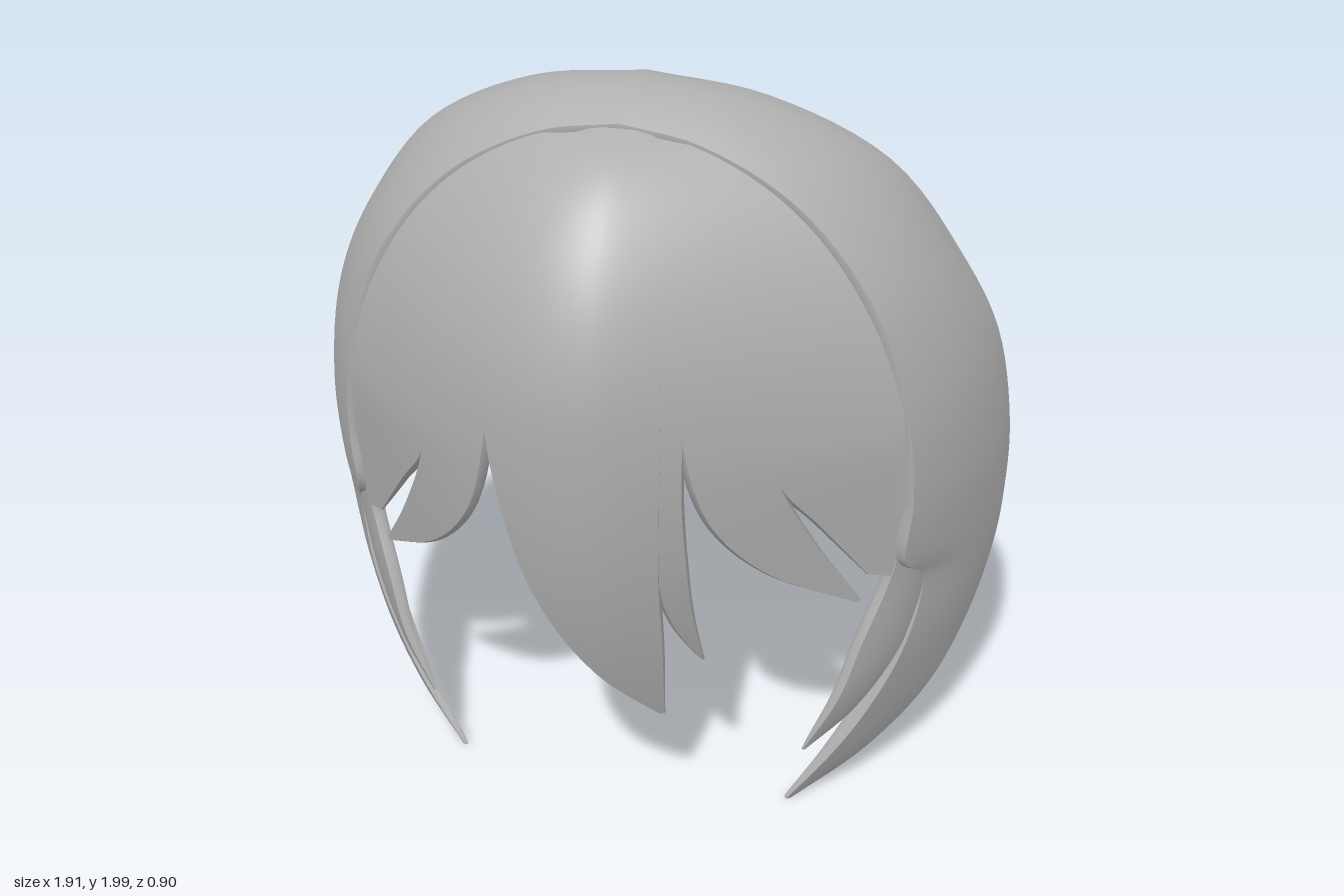
import * as THREE from 'three';

const hair = new THREE.MeshStandardMaterial({ color: 0xb0b0b0 });
hair.name = 'grey hair';

// Solid curved sheet: point(s, t) runs left to right and top to tip; the inside is offset along the normals.
function sheet(name, point, cols, rows, thickness) {
  const W = cols + 1, pos = [], idx = [];
  for (let j = 0; j <= rows; j++)
    for (let i = 0; i <= cols; i++) pos.push(...point(i / cols, (j / rows) * 0.995));
  for (let j = 0; j < rows; j++)
    for (let i = 0; i < cols; i++) {
      const a = j * W + i, b = a + W;
      idx.push(a, b, a + 1, a + 1, b, b + 1);
    }
  const outer = new THREE.BufferGeometry();
  outer.setAttribute('position', new THREE.Float32BufferAttribute(pos, 3));
  outer.setIndex(idx);
  outer.computeVertexNormals();
  const nor = outer.attributes.normal.array;

  // inner face, thinning towards the tip
  const inPos = pos.map((p, k) => {
    const t = Math.floor(k / 3 / W) / rows;
    return p - nor[k] * thickness * (1 - 0.85 * t ** 5);
  });
  const inIdx = [];
  for (let k = 0; k < idx.length; k += 3) inIdx.push(idx[k], idx[k + 2], idx[k + 1]);

  // rounded rim around the border
  const loop = [];
  for (let j = 0; j < rows; j++) loop.push(j * W);
  for (let i = 0; i < cols; i++) loop.push(rows * W + i);
  for (let j = rows; j > 0; j--) loop.push(j * W + cols);
  for (let i = cols; i > 0; i--) loop.push(i);
  const at = (array, v) => new THREE.Vector3().fromArray(array, v * 3);
  const rimPos = [], rimIdx = [], n = loop.length;
  loop.forEach((v, k) => {
    const a = at(pos, v), b = at(inPos, v);
    const along = at(pos, loop[(k + 1) % n]).sub(at(pos, loop[(k + n - 1) % n])).normalize();
    const mid = a.clone().lerp(b, 0.5).addScaledVector(along.cross(at(nor, v)), 0.3 * a.distanceTo(b));
    rimPos.push(...a.toArray(), ...mid.toArray(), ...b.toArray());
    const p = 3 * k, q = 3 * ((k + 1) % n);
    for (const h of [0, 1]) rimIdx.push(p + h, p + h + 1, q + h, q + h, p + h + 1, q + h + 1);
  });

  const group = new THREE.Group();
  group.name = name;
  for (const [part, p, ix] of [['Outside', pos, idx], ['Inside', inPos, inIdx], ['Rim', rimPos, rimIdx]]) {
    const g = new THREE.BufferGeometry();
    g.setAttribute('position', new THREE.Float32BufferAttribute(p, 3));
    g.setIndex(ix);
    g.computeVertexNormals();
    const mesh = new THREE.Mesh(g, hair);
    mesh.name = name + part;
    group.add(mesh);
  }
  return group;
}

const curve = (pts) => new THREE.CatmullRomCurve3(pts.map(([x, y, z = 0]) => new THREE.Vector3(x, y, z)));
const flip = (pts) => pts.map(([x, ...rest]) => [-x, ...rest]);

// Depth of the fringe: a dome that falls away to both sides, fuller on the right
function fringeDepth(x, y) {
  const arc = (top, mid) => (y > mid ? Math.sqrt(Math.max(0, 1 - ((y - mid) / (top - mid)) ** 2)) : 1);
  const width = Math.max(0.02, 0.735 * arc(1.94, 1.1));
  const base = 0.03 - 0.1 * Math.max(0, 1.2 - y);
  const ridge = 0.03 + 0.415 * arc(1.93, 1.33) - 0.2 * Math.max(0, 1.33 - y) ** 2;
  const u = Math.min(1, (Math.hypot(x / width, 0.08) - 0.08) / 0.923);
  return base + (ridge - base) * (1 - u ** (x < 0 ? 1.65 : 1.15));
}

// Lock of the fringe; curl draws its tip back
function fringeLock(name, left, right, curl = 0) {
  const L = curve(left), R = curve(right);
  return sheet(name, (s, t) => {
    const p = L.getPoint(t).lerp(R.getPoint(t), s);
    return [p.x, p.y, fringeDepth(p.x, p.y) - curl * t ** 5];
  }, 14, 44, 0.04);
}

// Lock between two edges in space, arched outwards from the head, most strongly on top
function sideLock(name, left, right, arch, cols, rows, thickness) {
  const L = curve(left), R = curve(right);
  return sheet(name, (s, t) => {
    const a = L.getPoint(t), b = R.getPoint(t), size = a.distanceTo(b);
    const p = a.lerp(b, s);
    const out = new THREE.Vector3(p.x, p.y - 0.9, 0).normalize();
    p.addScaledVector(out, arch * (1 + 0.7 * out.y) * size * 4 * s * (1 - s));
    return p.toArray();
  }, cols, rows, thickness);
}

export function createModel() {
  const model = new THREE.Group();
  model.name = 'frontHair';

  // Centre of the fringe with a small lock beside it; all fringe locks fan out from the crown
  const centreLeft = [[-0.02, 1.935], [-0.15, 1.82], [-0.215, 1.6], [-0.238, 1.3], [-0.205, 1.08], [-0.14, 0.84], [-0.02, 0.61], [0.163, 0.38]];
  const centreRight = [[0.015, 1.935], [0.12, 1.82], [0.17, 1.6], [0.19, 1.3], [0.185, 1.1], [0.18, 0.88], [0.18, 0.65], [0.168, 0.38]];
  const smallLeft = [[0.015, 1.935], [0.12, 1.82], [0.17, 1.6], [0.19, 1.3], [0.185, 1.1], [0.18, 0.88], [0.205, 0.72], [0.263, 0.56]];
  const smallRight = [[0.02, 1.935], [0.15, 1.82], [0.215, 1.6], [0.235, 1.3], [0.236, 1.1], [0.243, 0.9], [0.25, 0.75], [0.267, 0.56]];
  model.add(fringeLock('centreLock', centreLeft, centreRight, 0.02));
  model.add(fringeLock('smallLock', smallLeft, smallRight, 0.05));

  // Paired locks, given for the +x side
  const innerL = [[0.018, 1.935], [0.148, 1.82], [0.212, 1.6], [0.235, 1.3], [0.3, 1.04], [0.43, 0.86], [0.64, 0.715]];
  const innerR = [[0.022, 1.935], [0.25, 1.81], [0.36, 1.6], [0.43, 1.32], [0.45, 1.13], [0.54, 0.91], [0.645, 0.72]];
  const outerL = [[0.02, 1.935], [0.245, 1.81], [0.355, 1.6], [0.425, 1.32], [0.45, 1.13], [0.54, 0.99], [0.66, 0.8]];
  const outerR = [[0.024, 1.938], [0.3, 1.87], [0.55, 1.66], [0.68, 1.41], [0.735, 1.12], [0.738, 0.95], [0.71, 0.78]];

  const bandFront = [[0, 1.945, 0.04], [0.2, 1.91, 0.045], [0.43, 1.785, 0.045], [0.62, 1.56, 0.045],
    [0.72, 1.29, 0.035], [0.755, 1.02, 0.015], [0.745, 0.83, 0], [0.785, 0.73, -0.1],
    [0.755, 0.52, -0.09], [0.675, 0.32, -0.055], [0.58, 0.16, -0.02], [0.465, 0.003, 0.01]];
  const bandBack = [[0, 1.99, -0.23], [0.3, 1.945, -0.25], [0.6, 1.785, -0.315], [0.79, 1.53, -0.37],
    [0.895, 1.32, -0.405], [0.948, 1.05, -0.422], [0.953, 0.85, -0.422], [0.94, 0.68, -0.415],
    [0.89, 0.45, -0.38], [0.81, 0.27, -0.285], [0.67, 0.12, -0.155], [0.47, 0, 0.005]];

  const tipFront = [[0.74, 0.96, 0.01], [0.715, 0.79, 0], [0.655, 0.59, 0.045], [0.605, 0.42, 0.075], [0.52, 0.25, 0.09]];
  const tipBack = [[0.83, 0.96, -0.13], [0.8, 0.75, -0.13], [0.745, 0.52, -0.09], [0.645, 0.35, -0.01], [0.525, 0.25, 0.088]];

  for (const [side, left] of [['left', true], ['right', false]]) {
    const pair = (a, b) => (left ? [a, b] : [flip(b), flip(a)]);
    model.add(
      fringeLock(side + 'InnerLock', ...pair(innerL, innerR)),
      fringeLock(side + 'OuterLock', ...pair(outerL, outerR)),
      sideLock(side + 'Band', ...pair(bandFront, bandBack), 0.06, 14, 66, 0.07),
      sideLock(side + 'SideTip', ...pair(tipFront, tipBack), 0.08, 8, 24, 0.035));
  }
  return model;
}
